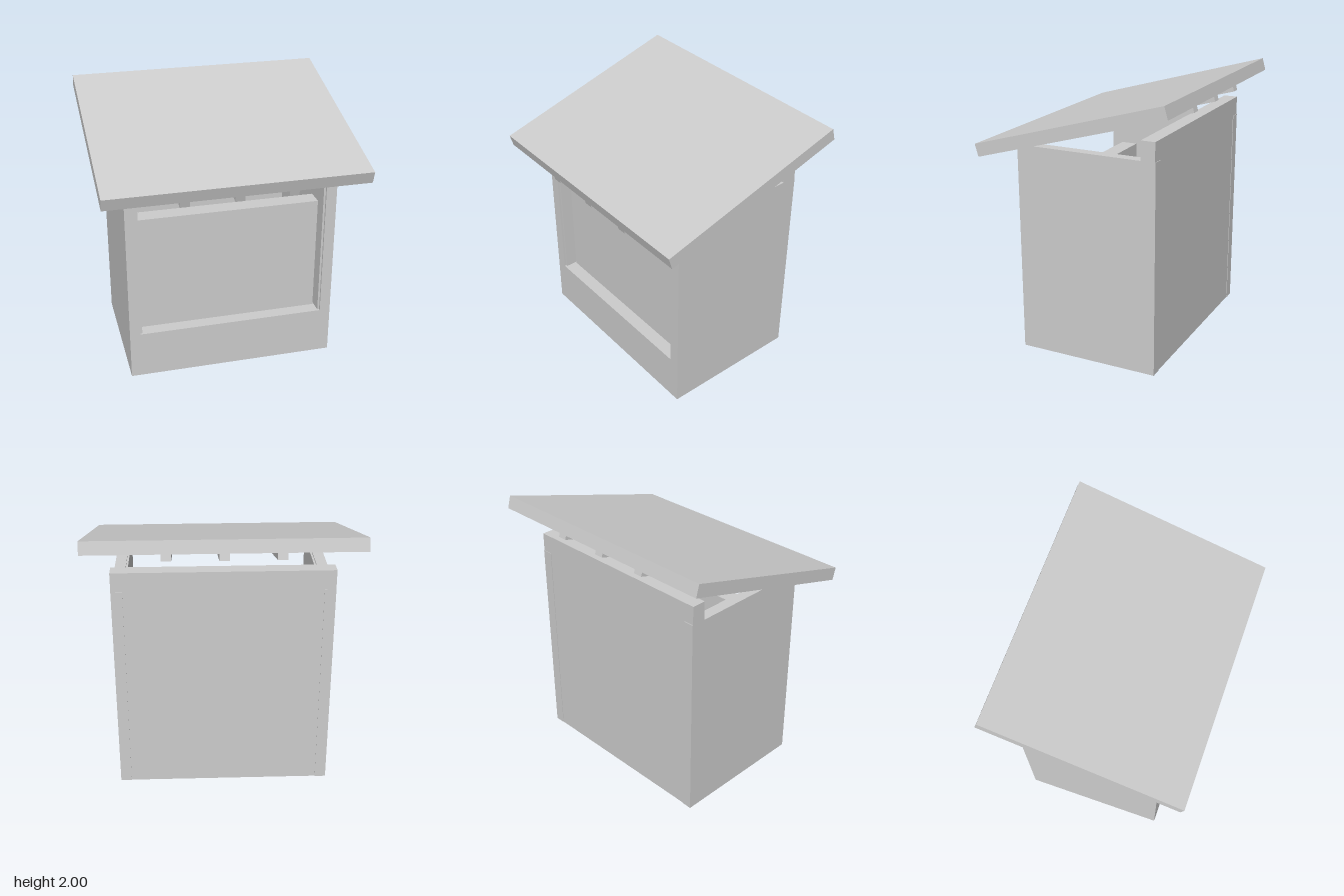
import * as THREE from 'three';

export function createModel() {
  const model = new THREE.Group();
  const grey = new THREE.MeshStandardMaterial({ color: 0xcccccc });
  grey.name = 'plain grey';

  // Box given by its min and max along each axis
  const addBox = (parent, name, [x0, x1], [y0, y1], [z0, z1]) => {
    const mesh = new THREE.Mesh(new THREE.BoxGeometry(x1 - x0, y1 - y0, z1 - z0), grey);
    mesh.position.set((x0 + x1) / 2, (y0 + y1) / 2, (z0 + z1) / 2);
    mesh.name = name;
    parent.add(mesh);
  };

  // Booth walls: solid base, back wall with a raised full-width top, and two sides
  const booth = new THREE.Group();
  booth.name = 'booth';
  model.add(booth);
  addBox(booth, 'base', [-0.7, 0.7], [0, 0.36], [-0.46, 0.5]);
  addBox(booth, 'backWall', [-0.7, 0.7], [0, 1.57], [-0.566, -0.46]);
  addBox(booth, 'backWallTop', [-0.78, 0.78], [1.57, 1.71], [-0.566, -0.46]);
  for (const [side, s] of [['left', 1], ['right', -1]]) {
    const span = (a, b) => (s > 0 ? [a, b] : [-b, -a]);
    addBox(booth, side + 'Wall', span(0.7, 0.78), [0, 1.57], [-0.57, 0.5]);
    addBox(booth, side + 'Lining', span(0.685, 0.7), [0.36, 1.56], [-0.46, 0.485]);
  }

  // Recessed counter in the front opening
  addBox(booth, 'counter', [-0.675, 0.675], [0.36, 1.25], [0.27, 0.4]);

  // Sloping roof, higher at the back, with three rafters beneath
  const roof = new THREE.Group();
  roof.name = 'roof';
  roof.position.set(0, 1.749, 0);
  roof.rotation.x = 0.278;
  model.add(roof);
  addBox(roof, 'roofSlab', [-0.96, 0.96], [-0.047, 0.047], [-0.748, 0.748]);
  for (const x of [-0.39, 0, 0.39]) {
    addBox(roof, 'rafter', [x - 0.035, x + 0.035], [-0.1, -0.047], [-0.689, 0.737]);
  }

  return model;
}
